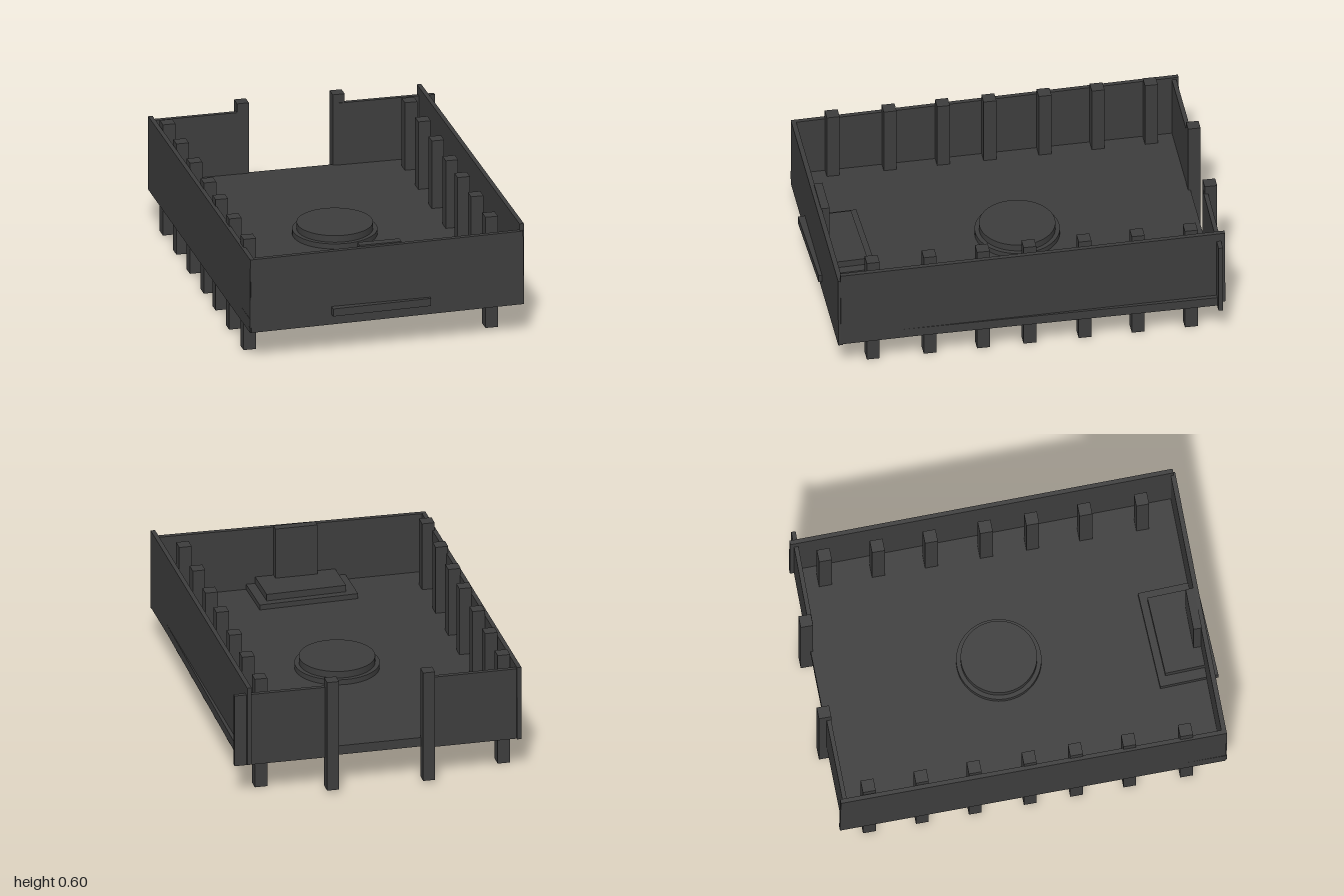
import * as THREE from 'three';

export function createModel() {
  const group = new THREE.Group();
  const material = new THREE.MeshStandardMaterial({ color: 0x3d3d3d });

  const add = (name, geometry, x, y, z) => {
    const mesh = new THREE.Mesh(geometry, material);
    mesh.name = name;
    mesh.position.set(x, y, z);
    group.add(mesh);
    return mesh;
  };

  // Box given by its limits along each axis
  const box = (name, x0, x1, y0, y1, z0, z1) =>
    add(name, new THREE.BoxGeometry(x1 - x0, y1 - y0, z1 - z0),
      (x0 + x1) / 2, (y0 + y1) / 2, (z0 + z1) / 2);

  // Thin slab standing on the bottom line a-b, which may be slightly skewed
  const wall = (name, a, b, height, thickness) => {
    const from = new THREE.Vector3(...a), to = new THREE.Vector3(...b);
    const d = to.clone().sub(from), length = d.length();
    const mid = from.add(to).multiplyScalar(0.5);
    const mesh = add(name, new THREE.BoxGeometry(length, height, thickness),
      mid.x, mid.y + height / 2, mid.z);
    mesh.rotation.set(0, Math.atan2(-d.z, d.x), Math.asin(d.y / length), 'YZX');
  };

  // Floor and the hand-placed, slightly crooked walls
  box('floor', -0.705, 0.685, 0.18, 0.228, -0.95, 0.962);
  wall('frontWall', [-0.7, 0.155, 0.95], [0.685, 0.172, 0.95], 0.386, 0.024);
  wall('rightWall', [-0.692, 0.153, 0.958], [-0.712, 0.178, -0.975], 0.387, 0.022);
  wall('leftWall', [0.678, 0.178, 0.95], [0.652, 0.185, -0.972], 0.415, 0.022);
  wall('backWallRight', [-0.705, 0.175, -0.95], [-0.24, 0.175, -0.95], 0.378, 0.022);
  wall('backWallLeft', [0.23, 0.175, -0.945], [0.722, 0.175, -0.94], 0.38, 0.022);

  // Posts beside the back opening
  for (const x of [-0.25, 0.236]) {
    box('backPost', x - 0.03, x + 0.03, 0.015, 0.6, -1, -0.938);
  }

  // Rows of posts along both sides, running down through the floor
  for (const z of [-0.825, -0.56, -0.295, -0.02, 0.212, 0.478, 0.762]) {
    box('rightPost', -0.694, -0.631, 0, 0.585, z - 0.032, z + 0.032);
    box('leftPost', 0.532, 0.595, 0, 0.585, z - 0.022, z + 0.042);
  }

  // Round drum through the floor with a smaller raised disc
  add('drum', new THREE.CylinderGeometry(0.21, 0.21, 0.235, 64), -0.013, 0.1375, -0.05);
  add('drumTop', new THREE.CylinderGeometry(0.188, 0.188, 0.05, 64), -0.013, 0.265, -0.05);

  // Two-step platform at the front, turned a little
  box('platform', -0.296, 0.206, 0.215, 0.255, 0.695, 0.988).rotation.y = 0.035;
  box('platformStep', -0.245, 0.16, 0.25, 0.29, 0.732, 0.945).rotation.y = 0.035;

  // Panel on the inside of the front wall
  box('frontPanel', -0.143, 0.07, 0.25, 0.556, 0.9, 0.942);

  return group;
}
